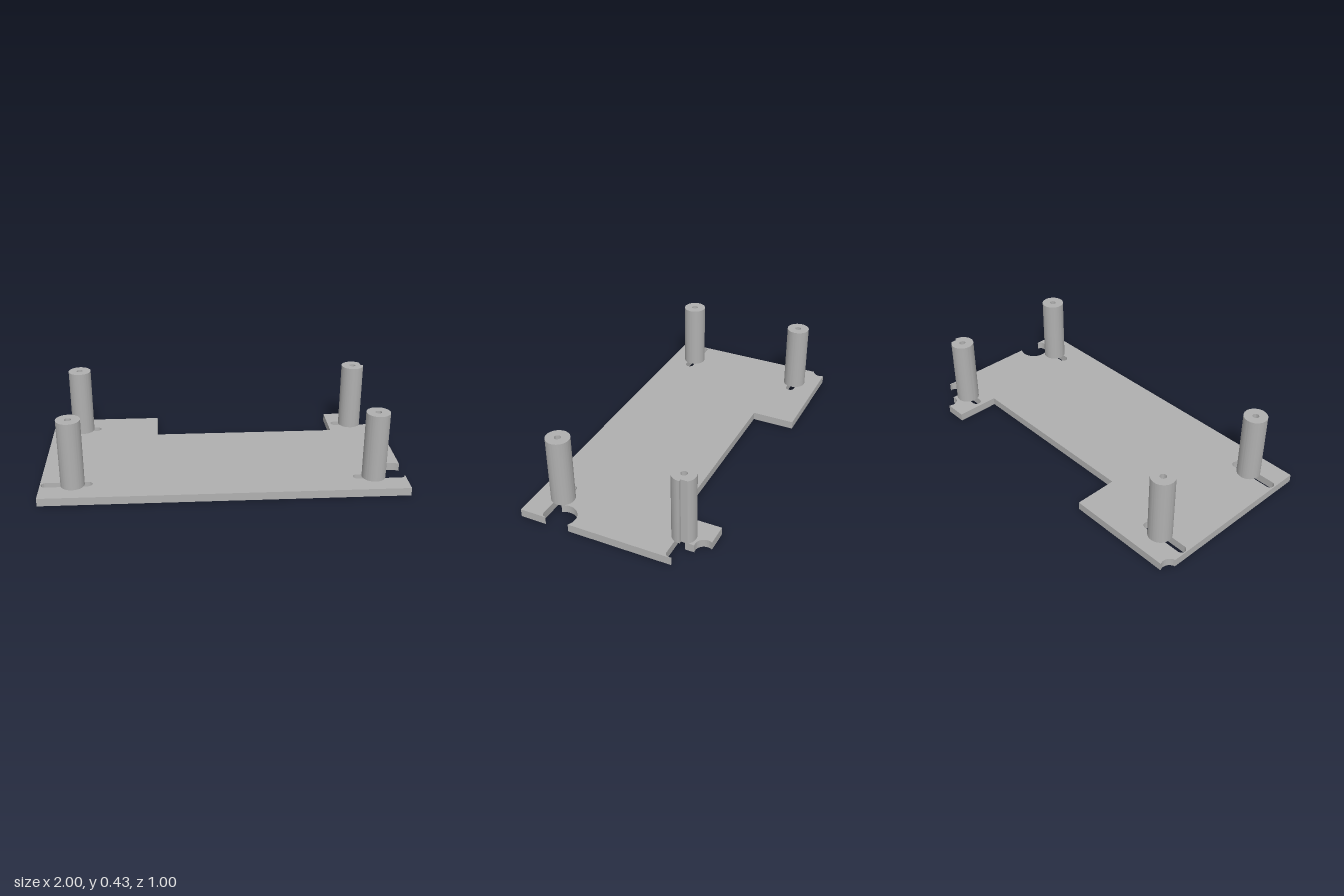
import * as THREE from 'three';
import { toCreasedNormals } from 'three/addons/utils/BufferGeometryUtils.js';

const PI = Math.PI;
const T = 0.045;        // plate thickness
const TOP = 0.43;       // top of posts
const PX = 0.8225, PZ = 0.353; // post positions
const SLOT_R = 0.025;

// Shapes are drawn in plan with y pointing to the back, then laid flat
function extrudeUp(shape, height, y) {
  const g = new THREE.ExtrudeGeometry(shape, { depth: height, bevelEnabled: false, curveSegments: 40 });
  g.rotateX(-PI / 2);
  g.translate(0, y, 0);
  return toCreasedNormals(g, 0.5);
}

// Flat base with notch, round cut-outs and slots
function plateShape() {
  const s = new THREE.Shape();
  const arc = (x, y, r, a, b) => s.absarc(x, y, r, a, b, true);
  s.moveTo(-1, -0.5);
  s.lineTo(1, -0.5);
  s.lineTo(1, -PZ);
  // front slot running into the round cut-out
  arc(0.972, -PZ, SLOT_R, 0, -PI / 2);
  arc(0.735, -PZ, SLOT_R, -PI / 2, PI / 2);
  arc(0.953, -0.285, 0.083, Math.atan2(-0.043, -0.071), Math.atan2(0.068, 0.047));
  s.lineTo(1, -0.217);
  s.lineTo(1, 0.365);
  // back slot opened by the corner cut
  arc(0.972, PZ, SLOT_R, 0.5, -PI / 2);
  arc(0.735, PZ, SLOT_R, -PI / 2, PI / 2);
  s.lineTo(0.87, PZ + SLOT_R);
  arc(0.855, 0.475, 0.0474, Math.atan2(-0.045, 0.015), Math.atan2(0.025, -0.04));
  // rectangular notch in the back edge
  s.lineTo(0.69, 0.5);
  s.lineTo(0.69, 0.255);
  s.lineTo(-0.37, 0.255);
  s.lineTo(-0.37, 0.5);
  arc(-1.01, 0.475, 0.047, Math.atan2(0.025, 0.04), Math.atan2(-0.046, 0.01));
  s.closePath();
  // closed slots on the right-hand side
  for (const y of [-PZ, PZ]) {
    const h = new THREE.Path();
    h.absarc(-0.969, y, SLOT_R, PI / 2, PI * 1.5, false);
    h.absarc(-0.741, y, SLOT_R, -PI / 2, PI / 2, false);
    h.closePath();
    s.holes.push(h);
  }
  return s;
}

// Round post with a blind screw hole; one is trimmed by the corner cut
function makePost(trimmed, material) {
  const R = 0.065, HOLE = 0.018, plugHeight = 0.2;
  const s = new THREE.Shape();
  if (trimmed) {
    s.absarc(0, 0, R, Math.acos(0.05 / R), 2 * PI + Math.asin(0.005 / R), false);
    s.lineTo(0.05, 0.005);
    s.closePath();
  } else {
    s.absarc(0, 0, R, 0, 2 * PI, false);
  }
  const hole = new THREE.Path();
  hole.absarc(0, 0, HOLE, 0, 2 * PI, true);
  s.holes.push(hole);

  const post = new THREE.Group();
  const body = new THREE.Mesh(extrudeUp(s, TOP - T, T), material);
  body.name = 'postBody';
  const plug = new THREE.Mesh(new THREE.CylinderGeometry(HOLE, HOLE, plugHeight, 40), material);
  plug.name = 'screwHoleFloor';
  plug.position.y = T + plugHeight / 2;
  post.add(body, plug);
  return post;
}

export function createModel() {
  const model = new THREE.Group();
  model.name = 'mountingPlate';
  const grey = new THREE.MeshStandardMaterial({ color: 0xb0b0b0 });
  grey.name = 'grey';

  const plate = new THREE.Mesh(extrudeUp(plateShape(), T, 0), grey);
  plate.name = 'basePlate';
  model.add(plate);

  for (const sx of [-1, 1]) {
    for (const sz of [-1, 1]) {
      const post = makePost(sx > 0 && sz < 0, grey);
      post.name = (sz > 0 ? 'front' : 'back') + (sx > 0 ? 'Left' : 'Right') + 'Post';
      post.position.set(sx * PX, 0, sz * PZ);
      model.add(post);
    }
  }
  return model;
}
